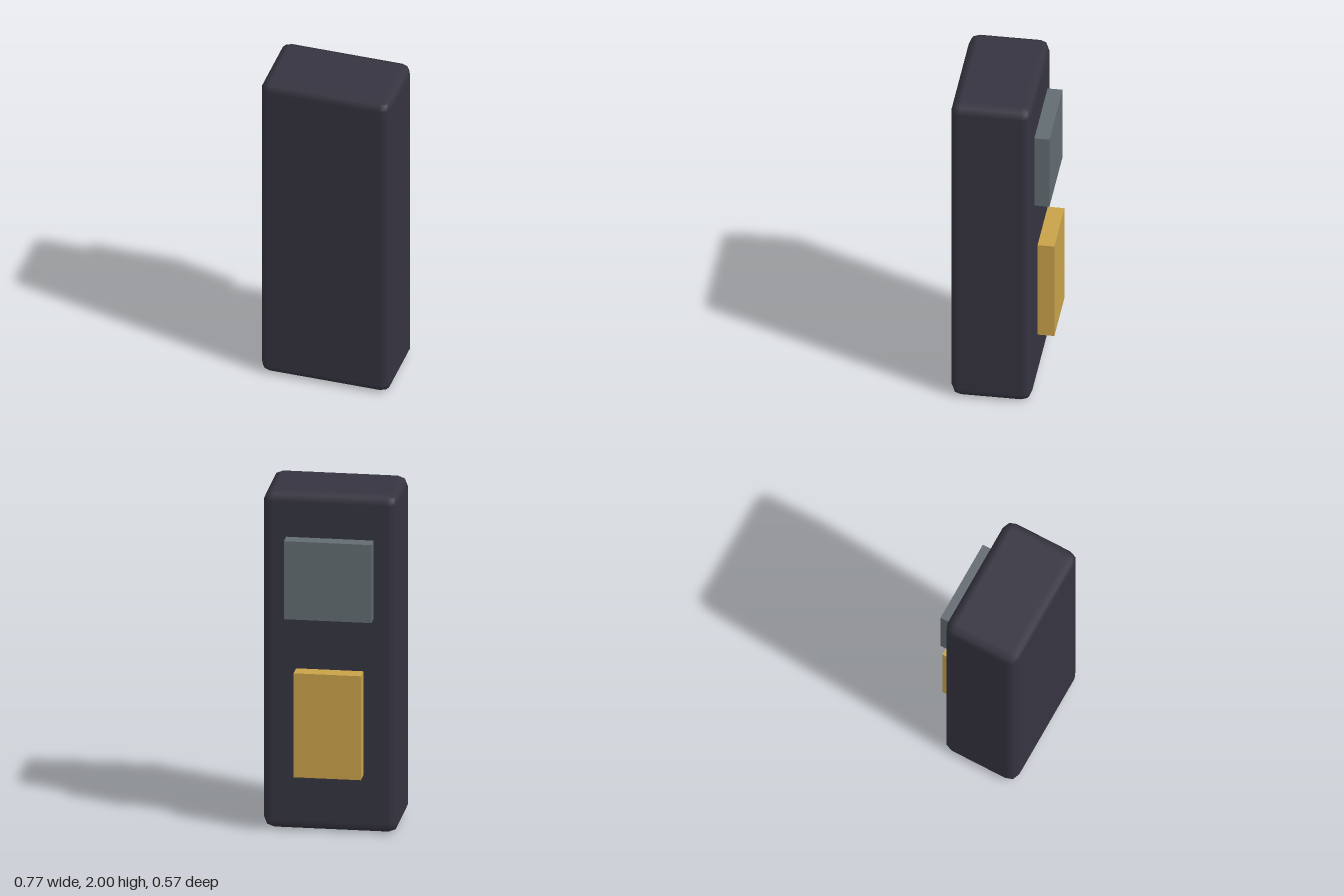
import * as THREE from 'three';
import { RoundedBoxGeometry } from 'three/addons/geometries/RoundedBoxGeometry.js';

const material = (name, color) => {
  const m = new THREE.MeshStandardMaterial({ color });
  m.name = name;
  return m;
};

export function createModel() {
  const model = new THREE.Group();
  model.name = 'slab';
  const charcoal = material('charcoal', 0x353440);
  const slate = material('slate grey', 0x636c71);
  const gold = material('gold', 0xc9a24a);

  const add = (name, geometry, mat, y, z) => {
    const mesh = new THREE.Mesh(geometry, mat);
    mesh.name = name;
    mesh.position.set(0, y, z);
    model.add(mesh);
  };

  // Upright body with two-facet rounded edges
  add('body', new RoundedBoxGeometry(0.769, 2, 0.4615, 1, 0.0577), charcoal, 1, 0.052);

  // Upper block, sunk slightly into the back
  add('upperBackPanel', new THREE.BoxGeometry(0.5, 0.4615, 0.096), slate, 1.506, -0.217);

  // Lower block, standing just clear of the back
  add('lowerBackPanel', new THREE.BoxGeometry(0.3846, 0.6154, 0.096), gold, 0.656, -0.2365);

  return model;
}
